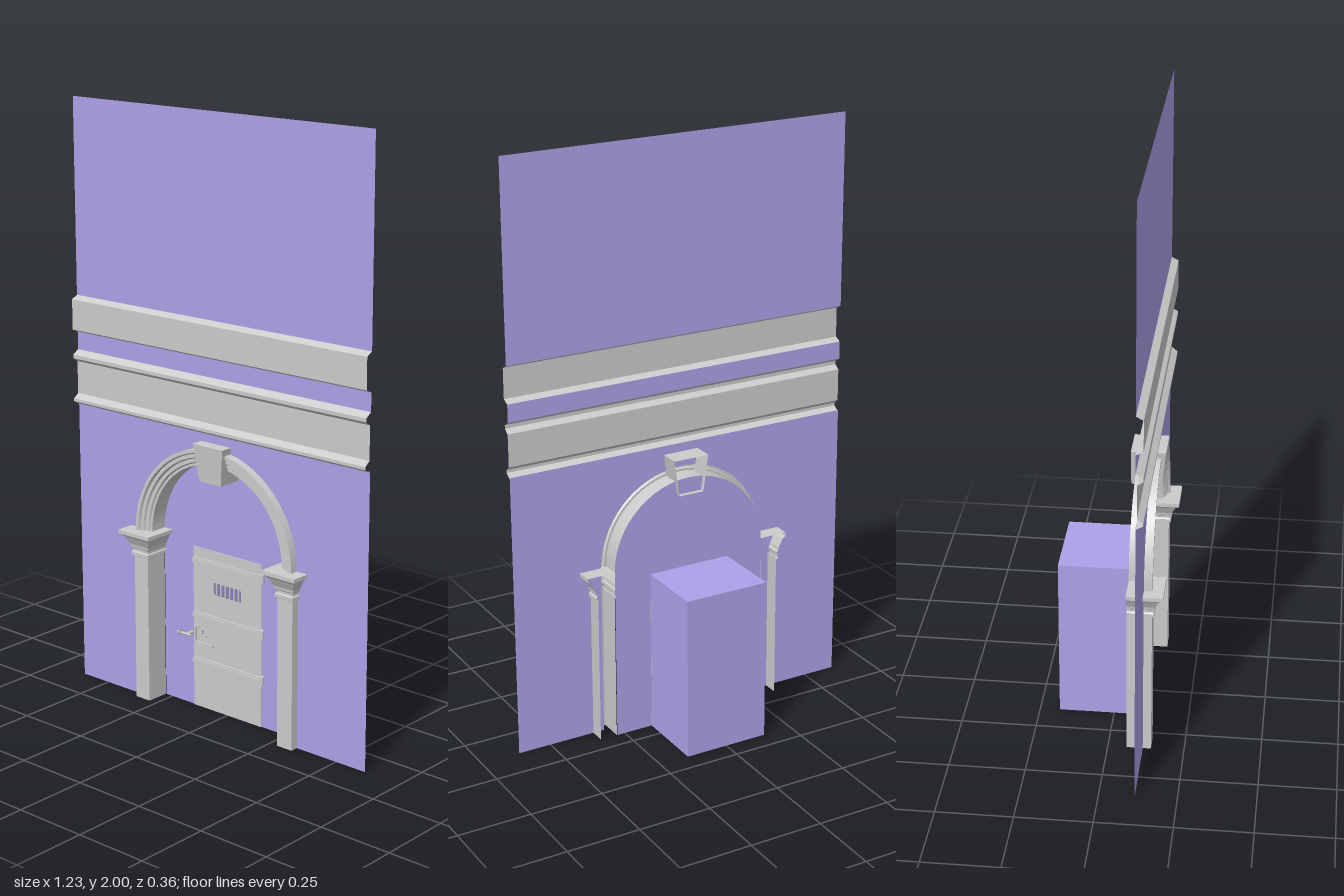
import * as THREE from 'three';
import { toCreasedNormals } from 'three/addons/utils/BufferGeometryUtils.js';

const stone = new THREE.MeshStandardMaterial({ color: 0xcccccc, side: THREE.DoubleSide });
const plaster = new THREE.MeshStandardMaterial({ color: 0xada1e8, side: THREE.DoubleSide });

const HALF = 0.615;      // half width of the wall
const WALL_Z = 0.115;    // wall plane
const BACK_Z = 0.061;    // recessed panel plane
const SPRING = 0.595;    // height where the arch begins
const DOOR = { w: 0.147, h: 0.56 };

function add(parent, name, geometry, material = stone) {
  const mesh = new THREE.Mesh(geometry, material);
  mesh.name = name;
  parent.add(mesh);
  return mesh;
}

function box(parent, name, w, h, d, x, y, z) {
  return add(parent, name, new THREE.BoxGeometry(w, h, d).translate(x, y, z));
}

// Flat-faced surface through a list of open cross-sections
function loft(sections) {
  const pos = [];
  for (let s = 0; s < sections.length - 1; s++) {
    const a = sections[s], b = sections[s + 1];
    for (let i = 0; i < a.length - 1; i++) {
      pos.push(...a[i], ...a[i + 1], ...b[i + 1], ...a[i], ...b[i + 1], ...b[i]);
    }
  }
  const g = new THREE.BufferGeometry();
  g.setAttribute('position', new THREE.Float32BufferAttribute(pos, 3));
  g.computeVertexNormals();
  return g;
}

// Three-sided section, open on the side at z0
const uSection = (x0, x1, z0, z1, y) => [[x0, y, z0], [x0, y, z1], [x1, y, z1], [x1, y, z0]];

// Outline of an arch standing on the ground
function archPoints(path, r) {
  path.lineTo(r, 0);
  path.lineTo(r, SPRING);
  path.absarc(0, SPRING, r, 0, Math.PI, false);
  path.lineTo(-r, 0);
}

function buildWall(root) {
  const g = new THREE.Group();
  g.name = 'wall';
  root.add(g);

  // Lower wall with the arched opening
  const s = new THREE.Shape();
  s.moveTo(HALF, 0);
  s.lineTo(HALF, 0.975);
  s.lineTo(-HALF, 0.975);
  s.lineTo(-HALF, 0);
  s.lineTo(-0.3, 0);
  s.lineTo(-0.3, SPRING);
  s.absarc(0, SPRING, 0.3, Math.PI, 0, true);
  s.lineTo(0.3, 0);
  add(g, 'lowerWall', new THREE.ShapeGeometry(s, 24).translate(0, 0, WALL_Z), plaster);

  // Wall strips between and above the bands
  for (const [name, y0, y1] of [['middleWall', 1.16, 1.22], ['upperWall', 1.345, 2]]) {
    add(g, name, new THREE.PlaneGeometry(HALF * 2, y1 - y0).translate(0, (y0 + y1) / 2, WALL_Z), plaster);
  }

  // Recessed panel with the doorway cut out
  const p = new THREE.Shape();
  p.moveTo(DOOR.w, 0);
  archPoints(p, 0.278);
  p.lineTo(-DOOR.w, 0);
  p.lineTo(-DOOR.w, DOOR.h);
  p.lineTo(DOOR.w, DOOR.h);
  add(g, 'recessPanel', new THREE.ShapeGeometry(p, 24).translate(0, 0, BACK_Z), plaster);

  // Chamber behind the door, without floor
  const w = DOOR.w, h = DOOR.h;
  add(g, 'chamber', loft([
    uSection(w, -w, BACK_Z, -0.184, 0),
    uSection(w, -w, BACK_Z, -0.184, h),
    uSection(w, -w, BACK_Z, BACK_Z, h),
  ]), plaster);
}

// Horizontal bands, profiles as [y, z]
function buildBands(root) {
  const bands = {
    lowerBand: [[0.972, WALL_Z], [0.985, 0.138], [0.995, 0.138], [1.01, 0.119], [1.12, 0.119],
      [1.133, 0.138], [1.145, 0.138], [1.16, WALL_Z]],
    upperBand: [[1.22, WALL_Z], [1.231, 0.138], [1.333, 0.138], [1.345, WALL_Z]],
  };
  for (const [name, profile] of Object.entries(bands)) {
    add(root, name, loft([HALF, -HALF].map(x => profile.map(([y, z]) => [x, y, z]))));
  }
}

function buildArch(root) {
  // Moulded ring, profile as (radius, depth)
  const profile = [[0.334, WALL_Z], [0.334, 0.142], [0.322, 0.142], [0.318, 0.134], [0.306, 0.134],
    [0.302, 0.127], [0.29, 0.127], [0.286, 0.121], [0.278, 0.121], [0.278, BACK_Z]]
    .map(([r, z]) => new THREE.Vector2(r, z));
  const ring = new THREE.LatheGeometry(profile, 40, Math.PI / 2, Math.PI);
  ring.rotateX(Math.PI / 2).translate(0, SPRING, 0);
  add(root, 'archRing', toCreasedNormals(ring, 0.4));

  // Keystone, open at the back
  add(root, 'keystone', loft([
    uSection(-0.045, 0.045, 0.045, 0.045, 0.82),
    uSection(-0.045, 0.045, 0.045, 0.145, 0.82),
    uSection(-0.063, 0.063, 0.045, 0.158, 0.945),
    uSection(-0.063, 0.063, 0.045, 0.045, 0.945),
  ]));
}

function buildPillar(root, side) {
  const g = new THREE.Group();
  g.name = side > 0 ? 'leftPillar' : 'rightPillar';
  root.add(g);
  const cx = side * 0.31;
  const section = (y, o) => uSection(cx - 0.03 - o, cx + 0.03 + o, BACK_Z, 0.142 + o, y);
  const closing = (y, o) => uSection(cx - 0.03 - o, cx + 0.03 + o, BACK_Z, BACK_Z, y);
  add(g, 'shaft', loft([section(0, 0), section(0.51, 0)]));

  // Capital steps as [height, overhang]
  const steps = [[0.503, 0], [0.507, 0.007], [0.518, 0.007], [0.522, 0.003], [0.53, 0.003],
    [0.534, 0.008], [0.545, 0.01], [0.572, 0.024], [0.578, 0.03], [0.582, 0.037], [0.595, 0.037]];
  add(g, 'capital', loft([...steps.map(([y, o]) => section(y, o)), closing(0.595, 0.037)]));
}

function buildDoor(root) {
  const g = new THREE.Group();
  g.name = 'door';
  root.add(g);
  const { w, h } = DOOR;

  // Leaf with a barred window
  const leaf = new THREE.Shape();
  leaf.moveTo(-w, 0);
  leaf.lineTo(w, 0);
  leaf.lineTo(w, h);
  leaf.lineTo(-w, h);
  const hole = new THREE.Path();
  hole.moveTo(-0.055, 0.408);
  hole.lineTo(-0.06, 0.413);
  hole.lineTo(-0.06, 0.447);
  hole.lineTo(-0.055, 0.452);
  hole.lineTo(0.055, 0.452);
  hole.lineTo(0.06, 0.447);
  hole.lineTo(0.06, 0.413);
  hole.lineTo(0.055, 0.408);
  leaf.holes.push(hole);
  add(g, 'doorLeaf', new THREE.ExtrudeGeometry(leaf, { depth: 0.004, bevelEnabled: false }).translate(0, 0, 0.06));
  for (let i = -2.5; i <= 2.5; i++) {
    add(g, 'windowBar', new THREE.CylinderGeometry(0.003, 0.003, 0.046, 6).translate(i * 0.019, 0.43, 0.062));
  }

  // Strap hinges with knuckles
  for (const y of [0.165, 0.325, 0.515]) {
    box(g, 'hingeStrap', 0.295, 0.021, 0.008, 0.004, y, 0.067);
    box(g, 'strapRidge', 0.295, 0.009, 0.004, 0.004, y, 0.073);
    add(g, 'hingeKnuckle', new THREE.CylinderGeometry(0.008, 0.008, 0.03, 10).translate(0.153, y, 0.069));
  }

  // Latch plate, spindle and lever
  box(g, 'latchPlate', 0.006, 0.055, 0.006, -0.137, 0.258, 0.067);
  box(g, 'latchFoot', 0.078, 0.006, 0.006, -0.1, 0.228, 0.067);
  box(g, 'latchTop', 0.018, 0.006, 0.006, -0.131, 0.284, 0.067);
  box(g, 'latchCatch', 0.02, 0.006, 0.006, -0.1, 0.256, 0.067);
  box(g, 'latchCatchPost', 0.005, 0.02, 0.006, -0.108, 0.266, 0.067);
  const spindle = new THREE.CylinderGeometry(0.006, 0.006, 0.03, 8).rotateX(Math.PI / 2);
  add(g, 'spindle', spindle.translate(-0.155, 0.256, 0.075));
  const lever = new THREE.CylinderGeometry(0.004, 0.004, 0.06, 8).rotateZ(Math.PI / 2);
  add(g, 'lever', lever.translate(-0.165, 0.256, 0.09));
  const tip = new THREE.ConeGeometry(0.011, 0.02, 8).rotateZ(Math.PI / 2);
  add(g, 'leverTip', tip.translate(-0.192, 0.256, 0.09));
}

export function createModel() {
  const root = new THREE.Group();
  root.name = 'doorwayFacade';
  buildWall(root);
  buildBands(root);
  buildArch(root);
  for (const side of [-1, 1]) buildPillar(root, side);
  buildDoor(root);
  return root;
}
